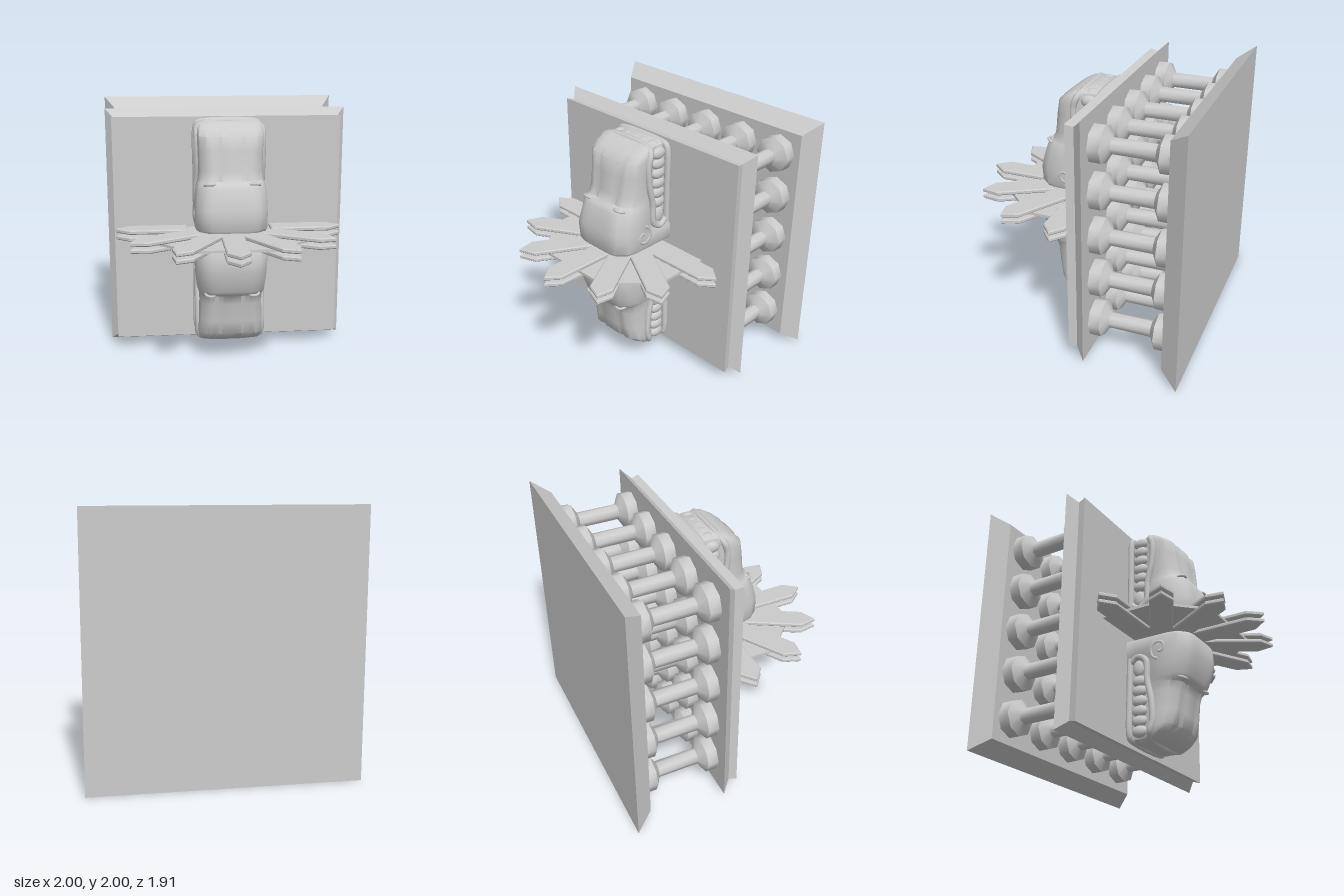
import * as THREE from 'three';
import { toCreasedNormals } from 'three/addons/utils/BufferGeometryUtils.js';

const smooth = new THREE.MeshStandardMaterial({ color: 0xcccccc });
const flat = new THREE.MeshStandardMaterial({ color: 0xcccccc, flatShading: true });
const MID = 1.0075; // height of the mirror plane between the two heads

function add(parent, name, geometry, material = smooth) {
  const mesh = new THREE.Mesh(geometry, material);
  mesh.name = name;
  parent.add(mesh);
  return mesh;
}

// Profile of [radius, z] turned about the z axis
function turned(profile, sides, phi = 0) {
  const pts = profile.map(([r, z]) => new THREE.Vector2(r, z));
  return new THREE.LatheGeometry(pts, sides, phi).rotateX(Math.PI / 2);
}

// Square plate with sloping rims, given [half size, z] steps
function plate(steps) {
  const s = steps.map(([h, z]) => [h * Math.SQRT2, z]);
  return turned([[0, s[0][1]], ...s, [0, s[s.length - 1][1]]], 4, Math.PI / 4);
}

// Outline lying in the xz plane, extruded upwards with a small bevel
function slab(points, height, bevel) {
  const shape = new THREE.Shape(points.map(([x, z]) => new THREE.Vector2(x, -z)));
  return new THREE.ExtrudeGeometry(shape, {
    depth: height - 2 * bevel, bevelEnabled: bevel > 0, bevelSegments: 1,
    bevelSize: bevel, bevelThickness: bevel, bevelOffset: -bevel,
  }).rotateX(-Math.PI / 2).translate(0, bevel, 0);
}

function tube(points, radius, segments = 60) {
  const curve = new THREE.CatmullRomCurve3(points.map(p => new THREE.Vector3(...p)));
  return new THREE.TubeGeometry(curve, segments, radius, 8);
}

// Skull lofted from cross-sections: [y, mouth half width, cheek half width, front half width, cheek z, front z]
function skullGeometry() {
  const rows = [
    [0.072, 0.27, 0.27, 0.19, 0.27, 0.425],
    [0.09, 0.28, 0.28, 0.20, 0.27, 0.435],
    [0.19, 0.28, 0.28, 0.21, 0.27, 0.437],
    [0.24, 0.25, 0.28, 0.21, 0.26, 0.435],
    [0.32, 0.235, 0.275, 0.20, 0.25, 0.415],
    [0.40, 0.23, 0.265, 0.185, 0.24, 0.392],
    [0.43, 0.23, 0.255, 0.18, 0.23, 0.375],
    [0.45, 0.23, 0.25, 0.175, 0.21, 0.342],
    [0.52, 0.23, 0.245, 0.17, 0.20, 0.322],
    [0.67, 0.23, 0.25, 0.18, 0.19, 0.302],
    [0.78, 0.23, 0.255, 0.19, 0.18, 0.28],
    [0.83, 0.23, 0.25, 0.19, 0.15, 0.22],
    [0.865, 0.22, 0.235, 0.18, 0.12, 0.16],
    [0.882, 0.19, 0.20, 0.15, 0.09, 0.11],
  ];
  const pos = [], idx = [];
  let n = 0;
  for (const [y, m, w, f, zs, zf] of rows) {
    const snout = y > 0.44 && y < 0.8 ? 0.014 : 0; // shallow grooves beside the nose ridge
    const half = [
      [m, -0.09], [m, 0], [m, zs * 0.35], [w, zs * 0.55], [w, zs],
      [w * 0.8 + f * 0.2, zs * 0.5 + zf * 0.5], [f, zf * 0.9 + zs * 0.1],
      [f * 0.8, zf - 0.004], [f * 0.58, zf - snout], [f * 0.4, zf],
    ];
    const ring = [...half, [0, zf], ...half.map(([x, z]) => [-x, z]).reverse()];
    n = ring.length;
    for (const [x, z] of ring) pos.push(x, y, z);
  }
  const last = (rows.length - 1) * n;
  for (let r = 0; r < rows.length - 1; r++) {
    for (let i = 0; i < n; i++) {
      const a = r * n + i, b = r * n + (i + 1) % n;
      idx.push(a, a + n, b, b, a + n, b + n);
    }
  }
  const base = rows.length * n;
  pos.push(0, 0.072, 0.1, 0, 0.887, 0.02);
  for (let i = 0; i < n; i++) {
    const j = (i + 1) % n;
    idx.push(base, i, j, base + 1, last + j, last + i);
  }
  const geo = new THREE.BufferGeometry();
  geo.setAttribute('position', new THREE.Float32BufferAttribute(pos, 3));
  geo.setIndex(idx);
  return toCreasedNormals(geo, 0.75);
}

function createHead() {
  const head = new THREE.Group();
  head.name = 'serpentHead';
  add(head, 'skull', skullGeometry());

  // Lips running up one side, over the muzzle and down the other
  const mirror = half => [...half, ...half.map(([x, y, z]) => [-x, y, z]).reverse()];
  add(head, 'upperLip', tube(mirror([
    [0.25, 0.25, -0.06], [0.255, 0.21, 0.0], [0.255, 0.25, 0.07], [0.255, 0.42, 0.085],
    [0.255, 0.58, 0.12], [0.255, 0.75, 0.13], [0.25, 0.83, 0.105], [0.2, 0.862, 0.085],
  ]), 0.025, 110));
  add(head, 'lowerLip', tube(mirror([
    [0.255, 0.22, -0.07], [0.255, 0.5, -0.07], [0.255, 0.8, -0.07], [0.24, 0.85, -0.07], [0.19, 0.865, -0.07],
  ]), 0.025, 80));

  const tooth = new THREE.SphereGeometry(1, 14, 10);
  for (const side of [1, -1]) {
    for (let i = 0; i < 6; i++) {
      const t = add(head, 'tooth', tooth);
      t.position.set(side * 0.235, 0.41 + i * 0.08, 0.01);
      t.scale.set(0.035, 0.047, 0.065);
    }
    const tongue = add(head, 'mouthCorner', tooth);
    tongue.position.set(side * 0.235, 0.3, 0.0);
    tongue.scale.set(0.028, 0.07, 0.05);

    // Curl on the cheek
    const curl = [];
    for (let i = 0; i <= 16; i++) {
      const a = -0.9 + i * 0.42, r = 0.085 - i * 0.0042;
      curl.push([side * 0.272, 0.19 + r * Math.sin(a + 2.6), 0.2 + r * Math.cos(a + 2.6)]);
    }
    add(head, 'cheekCurl', tube(curl, 0.014));

    // Eye set on the ledge of the brow
    const eye = add(head, 'eye', tooth);
    eye.position.set(side * 0.165, 0.425, 0.335);
    eye.scale.set(0.032, 0.022, 0.03);
    const lid = add(head, 'eyelid', new THREE.TorusGeometry(0.043, 0.011, 8, 20));
    lid.position.set(side * 0.165, 0.425, 0.333);
    lid.rotation.x = Math.PI / 2 - 0.3;
  }
  // Teeth across the muzzle
  for (let i = -2; i <= 2; i++) {
    const t = add(head, 'frontTooth', tooth);
    t.position.set(i * 0.085, 0.855, 0.01);
    t.scale.set(0.047, 0.035, 0.06);
  }
  return head;
}

export function createModel() {
  const model = new THREE.Group();
  model.name = 'serpentWallOrnament';

  // Wall plates
  add(model, 'backPlate', plate([[1, -0.96], [0.908, -0.82]]), flat).position.y = 1;
  add(model, 'frontPlate', plate([[0.963, -0.225], [0.893, -0.15], [0.908, -0.088]]), flat).position.y = 1;

  // Grid of spacers between the plates
  const spacer = toCreasedNormals(turned([
    [0.143, -0.822], [0.143, -0.73], [0.062, -0.685],
    [0.062, -0.36], [0.143, -0.312], [0.143, -0.222],
  ], 8), 0.9);
  for (let i = -2; i <= 2; i++) {
    for (let j = -2; j <= 2; j++) {
      add(model, 'spacer', spacer).position.set(i * 0.36, MID + j * 0.358, 0);
    }
  }

  // Feather collar: a core sheet between two fans of pointed feathers
  add(model, 'collarCore', slab([
    [-0.615, -0.09], [-0.615, 0.36], [-0.31, 0.675], [0.31, 0.675], [0.615, 0.36], [0.615, -0.09],
  ], 0.021, 0), flat).position.y = MID - 0.0105;
  const feather = slab([
    [0.33, -0.088], [0.785, -0.088], [0.892, 0], [0.785, 0.088], [0.33, 0.088],
  ], 0.034, 0.008);
  for (const y of [MID - 0.0445, MID + 0.0105]) {
    for (let i = 0; i < 7; i++) {
      const f = add(model, 'feather', feather, flat);
      f.position.set(0, y, 0.062);
      f.rotation.y = -i * Math.PI / 6;
    }
  }

  // Heads pointing up and down
  for (const turn of [0, Math.PI]) {
    const head = createHead();
    head.position.y = MID;
    head.rotation.z = turn;
    model.add(head);
  }
  return model;
}
